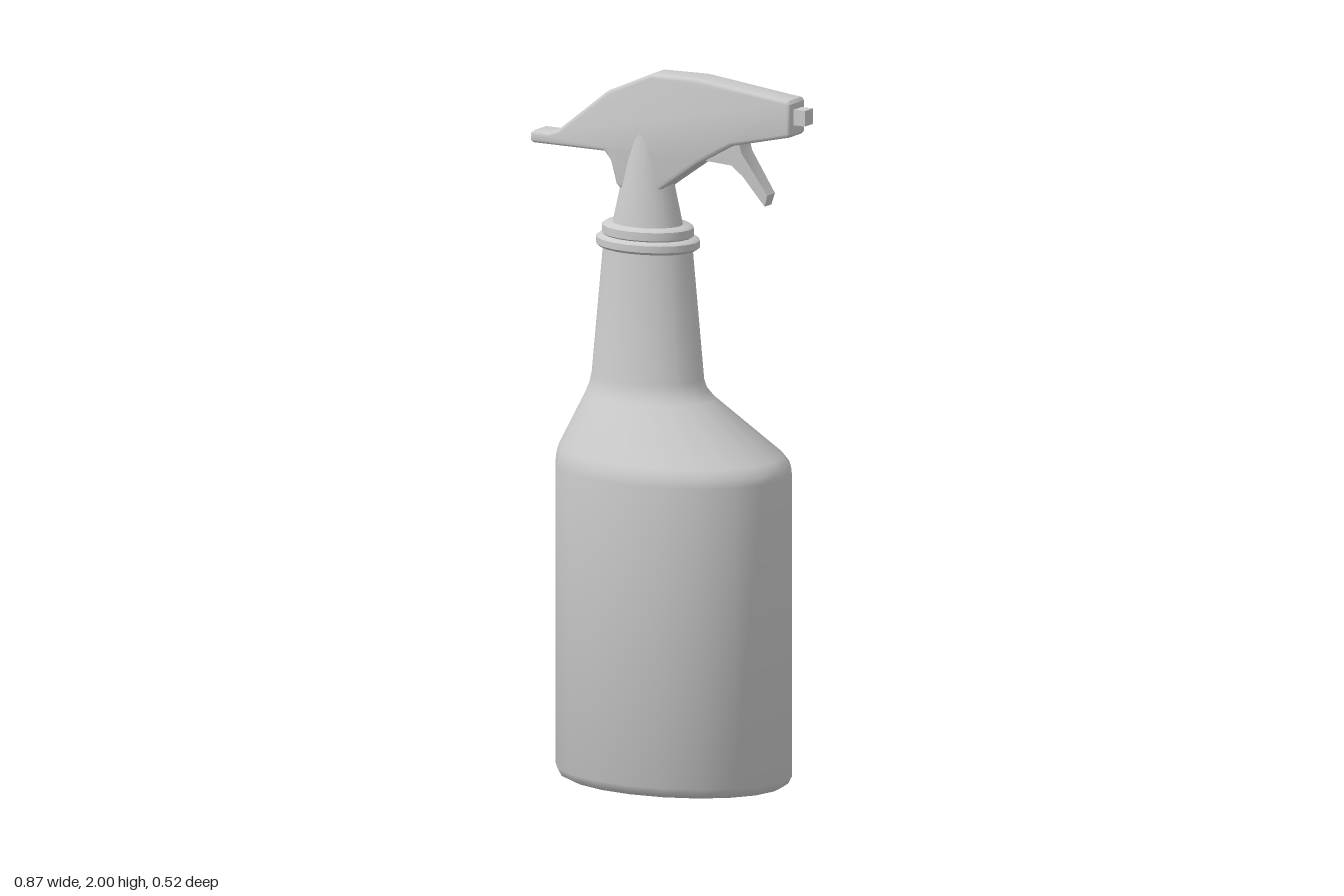
import * as THREE from 'three';
import { toCreasedNormals } from 'three/addons/utils/BufferGeometryUtils.js';

const SIDES = 20;
const material = new THREE.MeshStandardMaterial({ color: 0xcccccc });

function addPart(group, name, geometry, crease = 0.75) {
  const mesh = new THREE.Mesh(toCreasedNormals(geometry, crease), material);
  mesh.name = name;
  group.add(mesh);
  return mesh;
}

// Closed loft through elliptical rings, each [y, centreX, radiusX, radiusZ], listed upwards
function loft(rings) {
  const pos = [], index = [];
  for (const [y, cx, rx, rz] of rings) {
    for (let i = 0; i < SIDES; i++) {
      const a = (i / SIDES) * Math.PI * 2;
      pos.push(cx + Math.cos(a) * rx, y, Math.sin(a) * rz);
    }
  }
  const last = rings.length - 1;
  const bottom = pos.length / 3, top = bottom + 1;
  for (const r of [rings[0], rings[last]]) pos.push(r[1], r[0], 0);
  for (let i = 0; i < SIDES; i++) {
    const j = (i + 1) % SIDES;
    for (let k = 0; k < last; k++) {
      const a = k * SIDES + i, b = k * SIDES + j;
      index.push(a, a + SIDES, b, b, a + SIDES, b + SIDES);
    }
    index.push(bottom, i, j, top, last * SIDES + j, last * SIDES + i);
  }
  const g = new THREE.BufferGeometry();
  g.setAttribute('position', new THREE.Float32BufferAttribute(pos, 3));
  g.setIndex(index);
  return g;
}

// Side outline extruded symmetrically in z with rounded edges kept inside the outline
function plate(points, halfDepth, bevel) {
  const shape = new THREE.Shape(points.map(([x, y]) => new THREE.Vector2(x, y)));
  const g = new THREE.ExtrudeGeometry(shape, {
    depth: 2 * (halfDepth - bevel), bevelEnabled: bevel > 0, bevelThickness: bevel,
    bevelSize: bevel, bevelOffset: -bevel, bevelSegments: 3,
  });
  return g.translate(0, 0, -(halfDepth - bevel));
}

export function createModel() {
  const model = new THREE.Group();
  model.name = 'sprayBottle';
  const neckX = -0.083;

  // Oval bottle with a shoulder leaning towards the off-centre neck
  addPart(model, 'bottle', loft([
    [0, 0, 0.322, 0.236],
    [0.008, 0, 0.338, 0.251],
    [0.03, 0, 0.35, 0.262],
    [0.88, 0, 0.35, 0.262],
    [0.905, 0, 0.347, 0.259],
    [0.93, -0.008, 0.333, 0.247],
    [1.08, -0.075, 0.192, 0.141],
    [1.105, -0.081, 0.176, 0.127],
    [1.135, neckX, 0.167, 0.121],
    [1.5, neckX, 0.133, 0.097],
  ]));

  // Two stacked collar rings with softened rims
  const collar = (name, y0, y1, rx, rz) => addPart(model, name, loft([
    [y0, neckX, rx - 0.01, rz - 0.01],
    [y0 + 0.008, neckX, rx, rz],
    [y1 - 0.008, neckX, rx, rz],
    [y1, neckX, rx - 0.01, rz - 0.01],
  ]));
  collar('lowerCollar', 1.497, 1.532, 0.154, 0.115);
  collar('upperCollar', 1.528, 1.567, 0.135, 0.104);

  // Tapering stem running into the spray head
  addPart(model, 'stem', loft([
    [1.56, neckX, 0.105, 0.08],
    [1.68, neckX, 0.078, 0.063],
    [1.84, neckX, 0.045, 0.042],
  ]));

  // Spray head with rear tail
  addPart(model, 'sprayHead', plate([
    [-0.438, 1.77], [-0.43, 1.763], [-0.2, 1.763], [-0.18, 1.74],
    [-0.162, 1.675], [-0.15, 1.664], [-0.03, 1.664], [0, 1.687],
    [0.1, 1.758], [0.21, 1.82], [0.39, 1.862], [0.398, 1.87],
    [0.398, 1.957], [0.39, 1.966], [0.09, 2], [-0.05, 1.997],
    [-0.19, 1.935], [-0.35, 1.808], [-0.38, 1.797], [-0.43, 1.797],
    [-0.438, 1.79],
  ], 0.044, 0.011), 0.6);

  // Trigger, narrowing in depth towards its tip
  const trigger = plate([
    [0.1, 1.768], [0.2, 1.762], [0.235, 1.735], [0.303, 1.655],
    [0.313, 1.688], [0.235, 1.8], [0.225, 1.835], [0.12, 1.79],
  ], 0.03, 0);
  const p = trigger.attributes.position;
  for (let i = 0; i < p.count; i++) {
    const t = THREE.MathUtils.clamp((p.getY(i) - 1.655) / 0.16, 0, 1);
    p.setZ(i, p.getZ(i) * THREE.MathUtils.lerp(0.62, 1, t));
  }
  addPart(model, 'trigger', trigger, 0.5);

  // Square nozzle
  addPart(model, 'nozzle', new THREE.BoxGeometry(0.06, 0.044, 0.044), 0.5)
    .position.set(0.405, 1.918, 0);

  return model;
}
